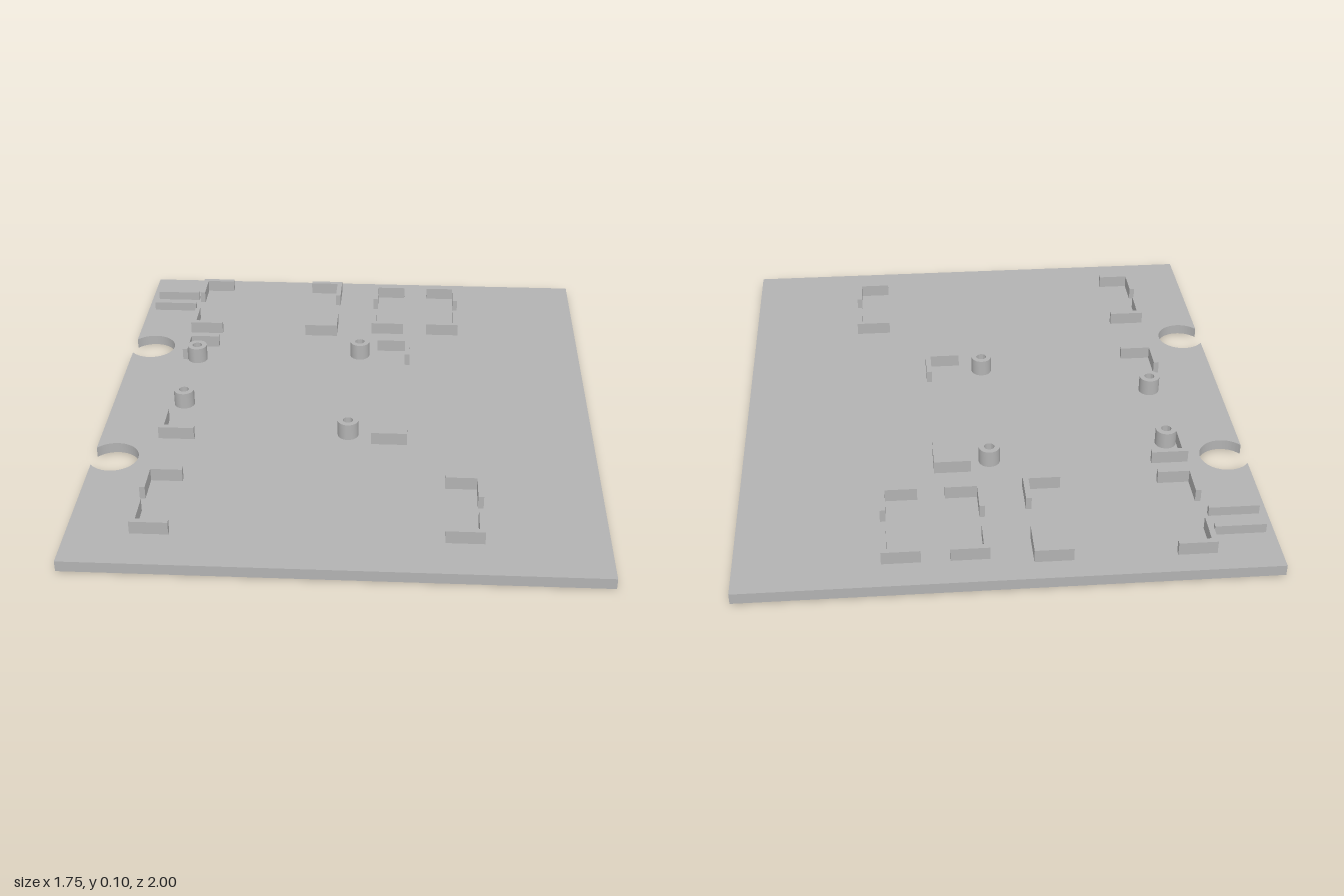
import * as THREE from 'three';
import { toCreasedNormals } from 'three/addons/utils/BufferGeometryUtils.js';

const TOP = 0.038; // upper face of the base plate

export function createModel() {
  const model = new THREE.Group();
  model.name = 'mountingPlate';
  const grey = new THREE.MeshStandardMaterial({ color: 0xb2b2b2 });
  grey.name = 'plain grey';

  const add = (name, geometry, x = 0, y = 0, z = 0) => {
    const mesh = new THREE.Mesh(geometry, grey);
    mesh.name = name;
    mesh.position.set(x, y, z);
    model.add(mesh);
  };

  // Extrude a flat outline drawn in (x, -z) upwards
  const slab = (shape, depth, curveSegments = 1) =>
    new THREE.ExtrudeGeometry(shape, { depth, bevelEnabled: false, curveSegments }).rotateX(-Math.PI / 2);

  // Base plate with two round notches breaking through the left-hand edge of the plan
  const W = 0.875, notchX = -0.805, notchR = 0.0875;
  const lip = Math.PI - Math.acos((notchX + W) / notchR);
  const outline = new THREE.Shape();
  outline.moveTo(-W, -1);
  outline.lineTo(W, -1);
  outline.lineTo(W, 1);
  outline.lineTo(-W, 1);
  for (const v of [0.4, -0.4]) outline.absarc(notchX, v, notchR, lip, -lip, true);
  outline.closePath();
  add('basePlate', toCreasedNormals(slab(outline, TOP, 40), 0.5));

  // L-shaped corner brackets, four around each component bay
  const arm = 0.127, t = 0.019, bracketHeight = 0.046;
  const bracket = (x, z, sx, sz) => {
    const points = [[0, 0], [arm, 0], [arm, t], [t, t], [t, arm], [0, arm]];
    const shape = new THREE.Shape(points.map(([a, b]) => new THREE.Vector2(a * sx, -b * sz)));
    add('cornerBracket', slab(shape, bracketHeight), x, TOP, z);
  };
  const bays = [ // x min, x max, z min, z max
    [-0.668, -0.08, -0.921, -0.524],
    [0.058, 0.405, -0.894, -0.553],
    [-0.668, 0.215, -0.429, 0.273],
    [-0.668, 0.474, 0.519, 0.842],
  ];
  for (const [x0, x1, z0, z1] of bays) {
    bracket(x0, z0, 1, 1);
    bracket(x1, z0, -1, 1);
    bracket(x0, z1, 1, -1);
    bracket(x1, z1, -1, -1);
  }

  // Two parallel guide ribs
  for (const z of [-0.822, -0.724]) {
    add('guideRib', new THREE.BoxGeometry(0.17, 0.034, 0.018), -0.762, TOP + 0.017, z);
  }

  // Hollow screw posts
  const rOut = 0.037, rIn = 0.018, h = 0.061;
  const profile = [[rOut, 0], [rOut, h], [rIn, h], [rIn, 0]].map(([r, y]) => new THREE.Vector2(r, y));
  const post = toCreasedNormals(new THREE.LatheGeometry(profile, 32), 0.5);
  for (const [x, z] of [[-0.611, -0.31], [0.02, -0.37], [-0.611, 0.03], [0.004, 0.214]]) {
    add('screwPost', post, x, TOP, z);
  }

  return model;
}
